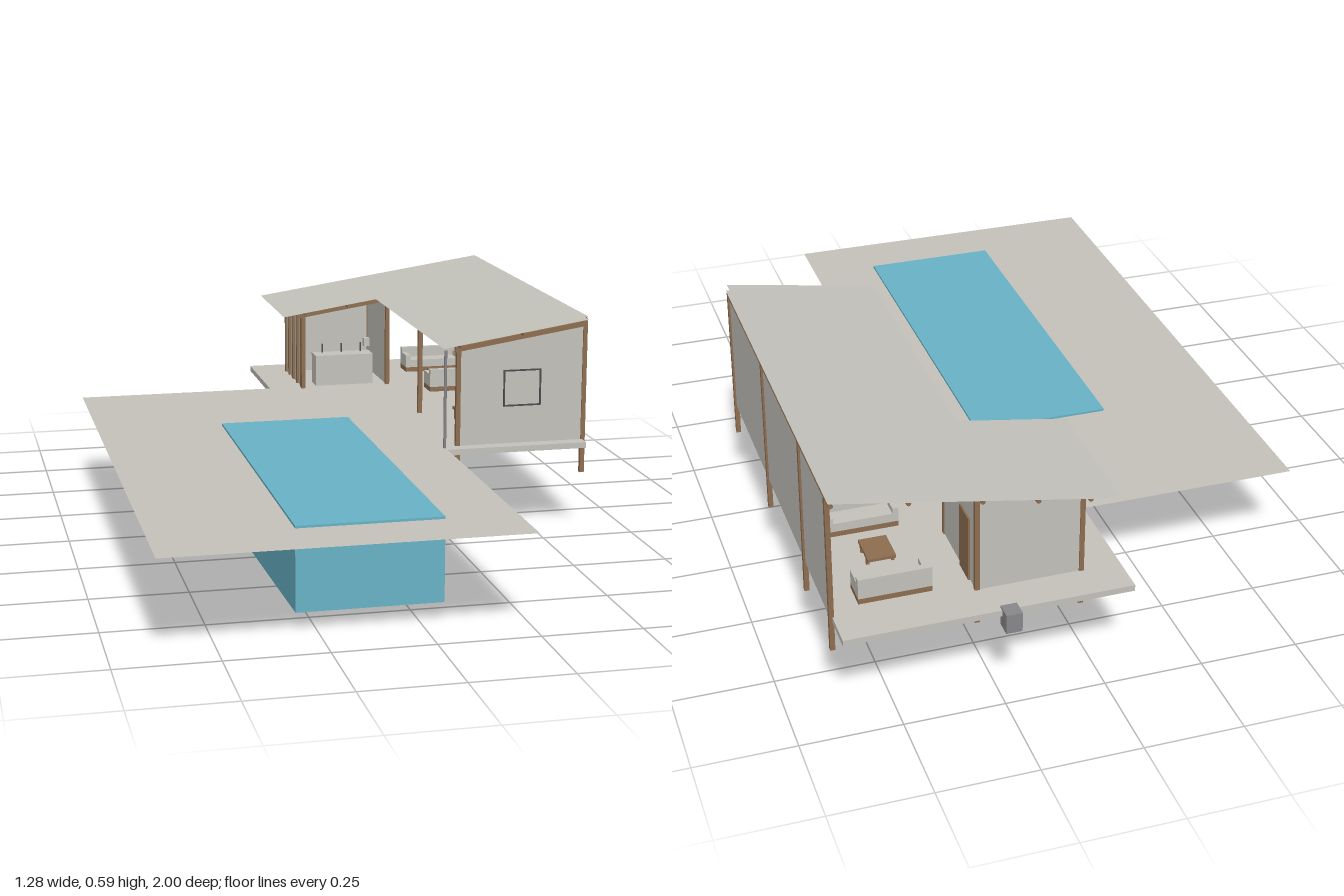
import * as THREE from 'three';

const paint = (name, color, side = THREE.FrontSide) => {
  const m = new THREE.MeshStandardMaterial({ color, side });
  m.name = name;
  return m;
};

export function createModel() {
  const concrete = paint('concrete', 0xc3c1ba, THREE.DoubleSide);
  const timber = paint('timber', 0x8d6e50);
  const water = paint('water', 0x67b2c5);
  const metal = paint('metal', 0x87878b);
  const dark = paint('darkGrey', 0x4c4c50);

  const house = new THREE.Group();
  house.name = 'poolHouse';

  const add = (name, geo, mat, parent = house) => {
    const mesh = new THREE.Mesh(geo, mat);
    mesh.name = name;
    parent.add(mesh);
    return mesh;
  };
  const group = (name) => {
    const g = new THREE.Group();
    g.name = name;
    house.add(g);
    return g;
  };
  // Box given by its limits on each axis
  const box = (name, mat, [x0, x1], [y0, y1], [z0, z1], parent) => {
    const mesh = add(name, new THREE.BoxGeometry(x1 - x0, y1 - y0, z1 - z0), mat, parent);
    mesh.position.set((x0 + x1) / 2, (y0 + y1) / 2, (z0 + z1) / 2);
    return mesh;
  };
  const shape = (pts) => new THREE.Shape(pts.map(([x, y]) => new THREE.Vector2(x, y)));
  // Horizontal sheet from x,z corners, with an optional height rule
  const sheet = (name, pts, heightAt) => {
    const geo = new THREE.ShapeGeometry(shape(pts.map(([x, z]) => [x, -z]))).rotateX(-Math.PI / 2);
    const p = geo.attributes.position;
    for (let i = 0; i < p.count; i++) p.setY(i, heightAt(p.getX(i)));
    geo.computeVertexNormals();
    return add(name, geo, concrete);
  };
  // Upright slab in the xy plane
  const slab = (name, mat, pts, z, depth, parent) => {
    const mesh = add(name, new THREE.ExtrudeGeometry(shape(pts), { depth, bevelEnabled: false }), mat, parent);
    mesh.position.z = z - depth / 2;
    return mesh;
  };

  const roofY = (x) => 0.486 + 0.156 * x;
  const FLOOR = 0.248;
  const X = [0.02, 0.28, 0.632];
  const Z = [0.165, -0.23, -0.62, -0.87];

  // Terrace and pool with a sloping bottom
  sheet('terrace', [[-0.645, 1], [0.24, 1], [0.24, -0.58], [-0.08, -0.58], [-0.08, -0.625], [-0.645, -0.625]], () => 0.25);
  const pool = new THREE.ExtrudeGeometry(
    shape([[-0.84, 0.045], [0.19, 0], [0.19, 0.256], [-0.84, 0.256]]), { depth: 0.36, bevelEnabled: false });
  pool.rotateY(Math.PI / 2).translate(-0.3, 0, 0);
  add('pool', pool, water);

  // L-shaped floor
  box('mainFloor', concrete, [0.235, 0.63], [0.232, FLOOR], [-0.58, 0.205]);
  box('rearFloor', concrete, [-0.08, 0.63], [0.232, FLOOR], [-0.97, -0.58]);

  // L-shaped sloping roof
  sheet('roof', [[-0.05, -0.94], [-0.05, -0.56], [0.23, -0.56], [0.23, 0.203], [0.63, 0.203], [0.63, 0.17],
    [0.64, 0.17], [0.64, -0.92]], roofY);

  // Posts and rafters on each row, round purlins along the roof
  const frame = group('timberFrame');
  Z.forEach((z, row) => {
    X.forEach((x, i) => {
      if (i === 0 && row < 2) return;
      box('post', timber, [x - 0.006, x + 0.006], [0.155, roofY(x) - 0.012], [z - 0.006, z + 0.006], frame);
    });
    const a = row < 2 ? 0.27 : 0.01, b = 0.638;
    slab('rafter', timber, [[a, roofY(a) - 0.024], [b, roofY(b) - 0.024], [b, roofY(b) - 0.01], [a, roofY(a) - 0.01]],
      z, 0.012, frame);
  });
  [[0.022, -0.57, -0.93], [0.15, -0.57, -0.93], [0.282, 0.195, -0.925], [0.455, 0.195, -0.92], [0.634, 0.165, -0.92]].forEach(([x, z0, z1]) => {
    const m = add('purlin', new THREE.CylinderGeometry(0.006, 0.006, z0 - z1, 8).rotateX(Math.PI / 2), timber, frame);
    m.position.set(x, roofY(x) - 0.007, (z0 + z1) / 2);
  });

  // Walls
  const walls = group('walls');
  const slopedWall = (name, a, b, z) => slab(name, concrete,
    [[a, FLOOR - 0.01], [b, FLOOR - 0.01], [b, roofY(b) - 0.022], [a, roofY(a) - 0.022]], z, 0.006, walls);
  slopedWall('frontWall', 0.28, 0.63, 0.165);
  slopedWall('rearWall', 0.02, 0.28, -0.87);
  for (let i = 0; i < 3; i++)
    box('leftWallPanel', concrete, [0.627, 0.633], [FLOOR - 0.01, 0.57], [Z[i + 1] + 0.003, Z[i] - 0.003], walls);
  box('partition', concrete, [0.277, 0.283], [FLOOR, 0.507], [-0.87, -0.62], walls);
  box('door', timber, [0.283, 0.288], [FLOOR, 0.42], [-0.83, -0.76], walls);

  // Slatted screen on the right of the rear room
  for (let i = 0; i < 4; i++) {
    const z = -0.86 + i * 0.062;
    box('screenPanel', concrete, [0.018, 0.022], [FLOOR, 0.462], [z, z + 0.036], walls);
    box('screenSlat', timber, [0.014, 0.026], [FLOOR, 0.465], [z + 0.036, z + 0.048], walls);
  }

  // Front window frame
  const win = group('window');
  [0.35, 0.446].forEach((y) => box('windowRail', dark, [0.405, 0.51], [y, y + 0.004], [0.165, 0.172], win));
  [0.405, 0.506].forEach((x) => box('windowStile', dark, [x, x + 0.004], [0.35, 0.45], [0.165, 0.172], win));

  // Rain pipes and drain box
  const drain = group('drainage');
  const pipe = (name, len, x, y, z, flat) => {
    const geo = new THREE.CylinderGeometry(0.004, 0.004, len, 10);
    if (flat) geo.rotateX(Math.PI / 2);
    add(name, geo, metal, drain).position.set(x, y, z);
  };
  pipe('downpipe', 0.295, 0.238, 0.3675, 0.19, false);
  pipe('drainPipe', 1.15, 0.238, 0.226, -0.385, true);
  box('drainBox', metal, [0.21, 0.25], [0.202, 0.253], [-1, -0.957], drain);

  // Kitchen counters with taps
  const kitchen = group('kitchen');
  box('rearCounter', concrete, [0.063, 0.24], [FLOOR, 0.34], [-0.7, -0.64], kitchen);
  box('frontCounter', concrete, [0.32, 0.46], [FLOOR, 0.34], [0.085, 0.155], kitchen);
  [0.093, 0.153, 0.212].forEach((x) => box('tap', dark, [x - 0.002, x + 0.002], [0.34, 0.367], [-0.69, -0.686], kitchen));
  box('wallCabinet', concrete, [0.222, 0.24], [0.355, 0.38], [-0.7, -0.68], kitchen);

  // Furniture: a plank top on four legs
  const table = (name, [x0, x1], y, [z0, z1]) => {
    const g = group(name);
    box('top', timber, [x0, x1], [y - 0.008, y], [z0, z1], g);
    for (const x of [x0, x1 - 0.008]) for (const z of [z0 + 0.015, z1 - 0.023])
      box('leg', timber, [x, x + 0.008], [FLOOR, y - 0.008], [z, z + 0.008], g);
  };
  table('diningTable', [0.42, 0.5], 0.315, [-0.16, 0.05]);
  table('bench', [0.355, 0.385], 0.282, [-0.15, 0.04]);
  table('bench', [0.535, 0.565], 0.282, [-0.15, 0.04]);
  table('coffeeTable', [0.43, 0.5], 0.272, [-0.71, -0.62]);

  // Sofas on timber bases, facing each other
  [[-0.81, -1], [-0.52, 1]].forEach(([z, s]) => {
    const g = group('sofa');
    const depth = (a, b) => [z + Math.min(s * a, s * b), z + Math.max(s * a, s * b)];
    box('base', timber, [0.38, 0.56], [FLOOR, 0.262], depth(-0.035, 0.035), g);
    box('seat', concrete, [0.38, 0.56], [0.262, 0.285], depth(-0.035, 0.035), g);
    box('back', concrete, [0.38, 0.56], [0.285, 0.315], depth(0.018, 0.035), g);
    [0.38, 0.545].forEach((x) => box('arm', concrete, [x, x + 0.015], [0.285, 0.3], depth(-0.035, 0.018), g));
  });

  // Screen on the inner left wall
  box('wallScreen', dark, [0.618, 0.627], [0.375, 0.45], [-0.82, -0.7]);

  return house;
}
